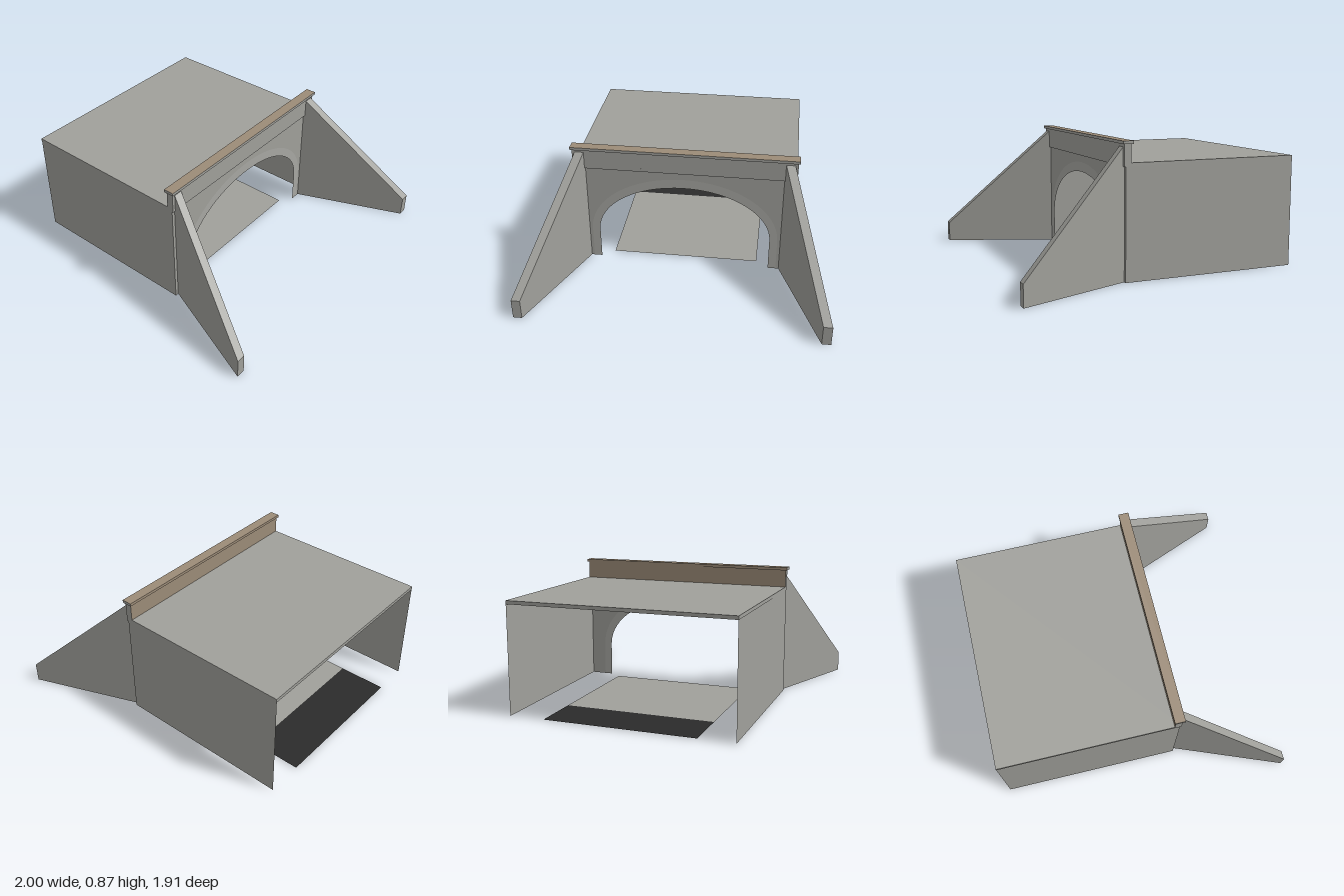
import * as THREE from 'three';

const BACK = -0.953, FACE = 0.23, HALF = 0.735, DECK_BOTTOM = 0.71;

// Arch outline from the left foot over the crown to the right foot
function archPoints(halfWidth, spring, crown) {
  const pts = [new THREE.Vector2(-halfWidth, 0)];
  const n = 32;
  for (let i = 0; i <= n; i++) {
    const a = Math.PI * (1 - i / n);
    pts.push(new THREE.Vector2(halfWidth * Math.cos(a), spring + (crown - spring) * Math.sin(a)));
  }
  pts.push(new THREE.Vector2(halfWidth, 0));
  return pts;
}

// Tapering, splayed wing wall: a box whose corners follow the slope and splay
function wingGeometry(side) {
  const g = new THREE.BoxGeometry(1, 1, 1);
  const p = g.attributes.position;
  for (let i = 0; i < p.count; i++) {
    const t = p.getZ(i) + 0.5;
    const x = side * THREE.MathUtils.lerp(0.684, 0.971, t) + p.getX(i) * 0.058;
    const y = p.getY(i) > 0 ? THREE.MathUtils.lerp(0.838, 0.135, t) : 0;
    p.setXYZ(i, x, y, THREE.MathUtils.lerp(FACE, 0.953, t));
  }
  g.computeVertexNormals();
  return g;
}

export function createModel() {
  const model = new THREE.Group();
  model.name = 'archedCulvert';

  const material = (name, color, side = THREE.FrontSide) => {
    const m = new THREE.MeshStandardMaterial({ color, side });
    m.name = name;
    return m;
  };
  const concrete = material('concrete', 0xa0a09b, THREE.DoubleSide);
  const paleConcrete = material('paleConcrete', 0xa8a8a3, THREE.DoubleSide);
  const tan = material('tanStone', 0x9c8c78);
  const dark = material('darkFloor', 0x2b2b2b, THREE.DoubleSide);

  const add = (name, geometry, mat) => {
    const mesh = new THREE.Mesh(geometry, mat);
    mesh.name = name;
    model.add(mesh);
    return mesh;
  };
  // Box given by its extents, symmetric in x
  const slab = (name, half, y0, y1, z0, z1, mat) => {
    const mesh = add(name, new THREE.BoxGeometry(half * 2, y1 - y0, z1 - z0), mat);
    mesh.position.set(0, (y0 + y1) / 2, (z0 + z1) / 2);
  };
  // Flat horizontal sheet
  const sheet = (name, half, y, z0, z1, mat) => {
    const mesh = add(name, new THREE.PlaneGeometry(half * 2, z1 - z0).rotateX(-Math.PI / 2), mat);
    mesh.position.set(0, y, (z0 + z1) / 2);
  };

  // Deck, parapet and coping; box faces run +x, -x, +y, -y, +z, -z
  slab('deck', 0.737, DECK_BOTTOM, 0.733, BACK, 0.24, concrete);
  slab('parapet', 0.737, 0.733, 0.847, 0.195, 0.24,
    [concrete, concrete, concrete, concrete, concrete, tan]);
  slab('coping', 0.747, 0.847, 0.866, 0.185, 0.253,
    [concrete, concrete, tan, concrete, concrete, tan]);

  // Thin front wall with the arch ring set into it
  const outer = archPoints(0.635, 0.23, 0.662);
  const inner = archPoints(0.582, 0.23, 0.597);
  const wall = new THREE.Shape([
    ...outer,
    new THREE.Vector2(HALF, 0), new THREE.Vector2(HALF, DECK_BOTTOM),
    new THREE.Vector2(-HALF, DECK_BOTTOM), new THREE.Vector2(-HALF, 0),
  ]);
  const ring = new THREE.Shape([...outer, ...inner.reverse()]);
  add('headwall', new THREE.ShapeGeometry(wall), concrete).position.z = FACE;
  add('archRing', new THREE.ShapeGeometry(ring), paleConcrete).position.z = FACE;

  // Side walls and splayed wing walls
  for (const side of [-1, 1]) {
    const label = side > 0 ? 'left' : 'right';
    const plane = new THREE.PlaneGeometry(FACE - BACK, DECK_BOTTOM).rotateY(side * Math.PI / 2);
    add(label + 'SideWall', plane, concrete)
      .position.set(side * HALF, DECK_BOTTOM / 2, (FACE + BACK) / 2);
    add(label + 'WingWall', wingGeometry(side), concrete);
  }

  // Floor sheet with a dark strip at the back
  sheet('floor', 0.5, 0.003, -0.63, 0.17, concrete);
  sheet('floorDarkStrip', 0.5, 0.003, BACK, -0.63, dark);

  return model;
}
